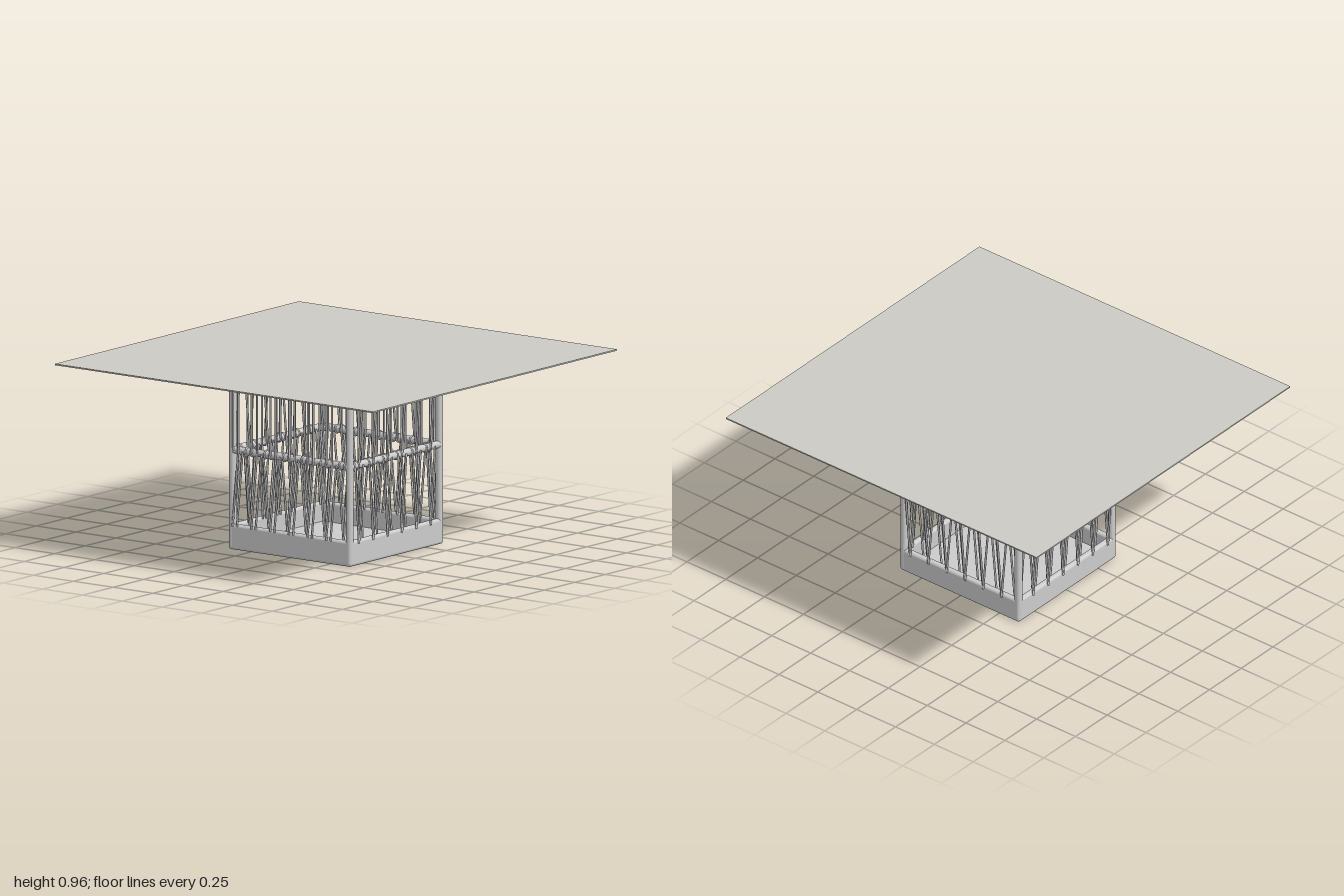
import * as THREE from 'three';
import { RoundedBoxGeometry } from 'three/addons/geometries/RoundedBoxGeometry.js';

const grey = new THREE.MeshStandardMaterial({ color: 0xcccccc });
const topMaterial = new THREE.MeshStandardMaterial({ color: 0xcccac4 });

const MID = 0.367;        // centre line of the frame tubes
const TUBE = 0.019;       // frame tube radius
const TOP_RAIL = 0.925, MID_RAIL = 0.507, BASE_TOP = 0.13;
const PITCH = 0.1176, FIRST = -0.273, REPEATS = 6;

function add(parent, name, geometry, x = 0, y = 0, z = 0, material = grey) {
  const mesh = new THREE.Mesh(geometry, material);
  mesh.name = name;
  mesh.position.set(x, y, z);
  parent.add(mesh);
  return mesh;
}

// Straight round bar between two points
function bar(parent, name, a, b, radius, sides) {
  const dir = b.clone().sub(a);
  const mesh = add(parent, name, new THREE.CylinderGeometry(radius, radius, dir.length(), sides));
  mesh.position.copy(a).add(b).multiplyScalar(0.5);
  mesh.quaternion.setFromUnitVectors(new THREE.Vector3(0, 1, 0), dir.normalize());
  return mesh;
}

// Thin square top: a full-size slab with a bevel underneath
function tableTop() {
  const group = new THREE.Group();
  group.name = 'tableTop';
  add(group, 'topSlab', new THREE.BoxGeometry(2, 0.007, 2), 0, 0.9615, 0, topMaterial);
  const bevel = new THREE.CylinderGeometry(Math.SQRT2, 0.96 * Math.SQRT2, 0.008, 4, 1).toNonIndexed();
  bevel.rotateY(Math.PI / 4);
  bevel.computeVertexNormals();
  add(group, 'topBevel', bevel, 0, 0.954, 0, topMaterial);
  return group;
}

// One woven panel: along(u, y, depth) maps panel coordinates into the model
function wovenPanel(name, along, zigzagDepth, straightDepth) {
  const group = new THREE.Group();
  group.name = name;
  const cord = (u0, y0, u1, y1, depth) =>
    bar(group, 'cord', along(u0, y0, depth), along(u1, y1, depth), 0.0055, 6);

  for (let i = 0; i < REPEATS; i++) {
    const t = FIRST + i * PITCH;
    // zigzag run
    cord(t, 0.112, t - 0.035, MID_RAIL, zigzagDepth);
    cord(t, 0.112, t + 0.032, MID_RAIL, zigzagDepth);
    cord(t, MID_RAIL, t - 0.033, TOP_RAIL, zigzagDepth);
    // straight run
    for (const [foot, head] of [[0.037, 0.04], [0.064, 0.073]]) {
      const shift = i === REPEATS - 1 ? -PITCH * REPEATS : 0;
      const f = t + foot + shift, h = t + head + shift;
      cord(f, 0.12, f + 0.036, MID_RAIL, straightDepth);
      cord(h, MID_RAIL, h, TOP_RAIL, straightDepth);
    }
    // wraps around the rails
    for (const [u, y] of [[t, MID_RAIL], [t + 0.032, MID_RAIL], [t - 0.033, TOP_RAIL]]) {
      const wrap = add(group, 'cordWrap', new THREE.TorusGeometry(TUBE + 0.001, 0.005, 6, 14));
      wrap.position.copy(along(u, y, 0));
      const axis = along(1, 0, 0).sub(along(0, 0, 0));
      wrap.quaternion.setFromUnitVectors(new THREE.Vector3(0, 0, 1), axis);
    }
  }
  return group;
}

export function createModel() {
  const model = new THREE.Group();
  model.name = 'table';
  model.add(tableTop());

  // Corner posts with softened edges
  for (const x of [-1, 1]) for (const z of [-1, 1]) {
    add(model, 'cornerPost', new RoundedBoxGeometry(0.036, 0.947, 0.036, 4, 0.016),
      x * MID, 0.4735, z * MID);
  }

  // Rails, base walls and woven cords on the four sides
  const sides = [
    ['front', (u, y, d) => new THREE.Vector3(u, y, MID + d), -1],
    ['back', (u, y, d) => new THREE.Vector3(u, y, -MID - d), 1],
    ['left', (u, y, d) => new THREE.Vector3(MID + d, y, u), 1],
    ['right', (u, y, d) => new THREE.Vector3(-MID - d, y, u), 1],
  ];
  for (const [name, along, zigzagSide] of sides) {
    bar(model, name + 'TopRail', along(-MID, TOP_RAIL, 0), along(MID, TOP_RAIL, 0), TUBE, 20);
    bar(model, name + 'MiddleRail', along(-MID, MID_RAIL, 0), along(MID, MID_RAIL, 0), TUBE, 20);

    const alongX = name === 'front' || name === 'back';
    const wall = add(model, name + 'BaseWall', new RoundedBoxGeometry(
      alongX ? 0.76 : 0.034, BASE_TOP, alongX ? 0.034 : 0.76, 4, 0.015));
    wall.position.copy(along(0, BASE_TOP / 2, 0));

    model.add(wovenPanel(name + 'Weave', along, zigzagSide * TUBE, -zigzagSide * TUBE));
  }

  // Closed floor of the base tray
  add(model, 'baseFloor', new THREE.BoxGeometry(0.73, 0.03, 0.73), 0, 0.0155, 0);
  return model;
}
